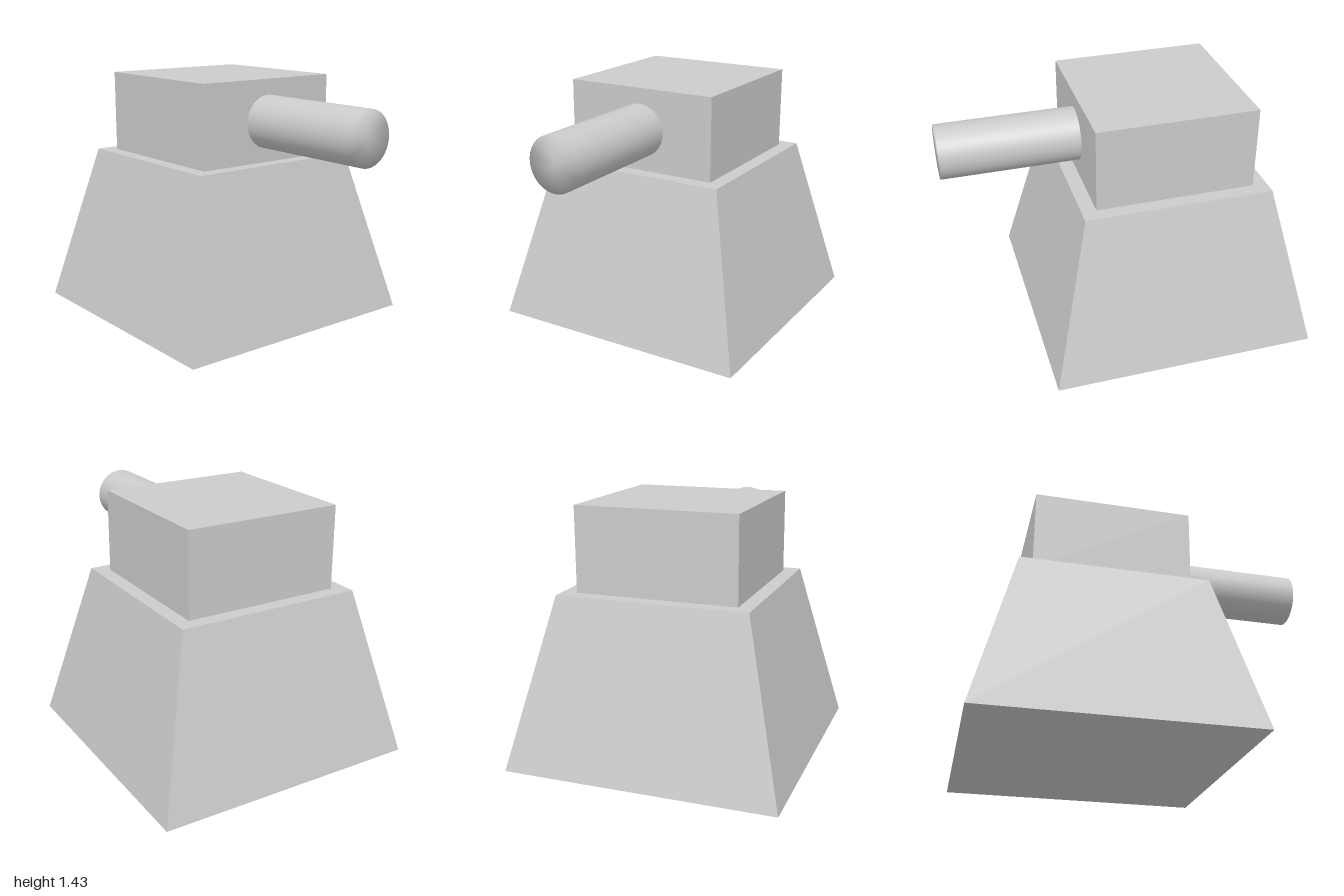
import * as THREE from 'three';

const CENTER_Z = -0.23;

function addPart(group, name, geometry, x, y, z, flatShading = false) {
  const material = new THREE.MeshStandardMaterial({ color: 0xcccccc, flatShading });
  const mesh = new THREE.Mesh(geometry, material);
  mesh.name = name;
  mesh.position.set(x, y, z);
  group.add(mesh);
  return mesh;
}

// Capped cylinder whose cap rims share the radial normals of the side
function softCappedCylinder(radius, length, sides) {
  const geometry = new THREE.CylinderGeometry(radius, radius, length, sides);
  const { position, normal } = geometry.attributes;
  for (let i = 0; i < position.count; i++) {
    const x = position.getX(i), z = position.getZ(i);
    const r = Math.hypot(x, z);
    if (r > radius / 2) normal.setXYZ(i, x / r, 0, z / r);
  }
  return geometry;
}

export function createModel() {
  const group = new THREE.Group();
  group.name = 'turret';

  // Tapered square pedestal
  const pedestal = new THREE.CylinderGeometry(
    0.537 * Math.SQRT2, 0.768 * Math.SQRT2, 0.957, 4, 1, false, Math.PI / 4);
  addPart(group, 'pedestal', pedestal, 0, 0.4785, CENTER_Z, true);

  // Square head on top of the pedestal
  addPart(group, 'head', new THREE.BoxGeometry(0.908, 0.475, 0.908), 0, 1.1945, CENTER_Z, true);

  // Barrel pointing forward, its rear end just inside the head
  const barrel = addPart(group, 'barrel', softCappedCylinder(0.152, 0.8, 48), 0, 1.19, 0.6);
  barrel.rotation.x = Math.PI / 2;

  return group;
}
